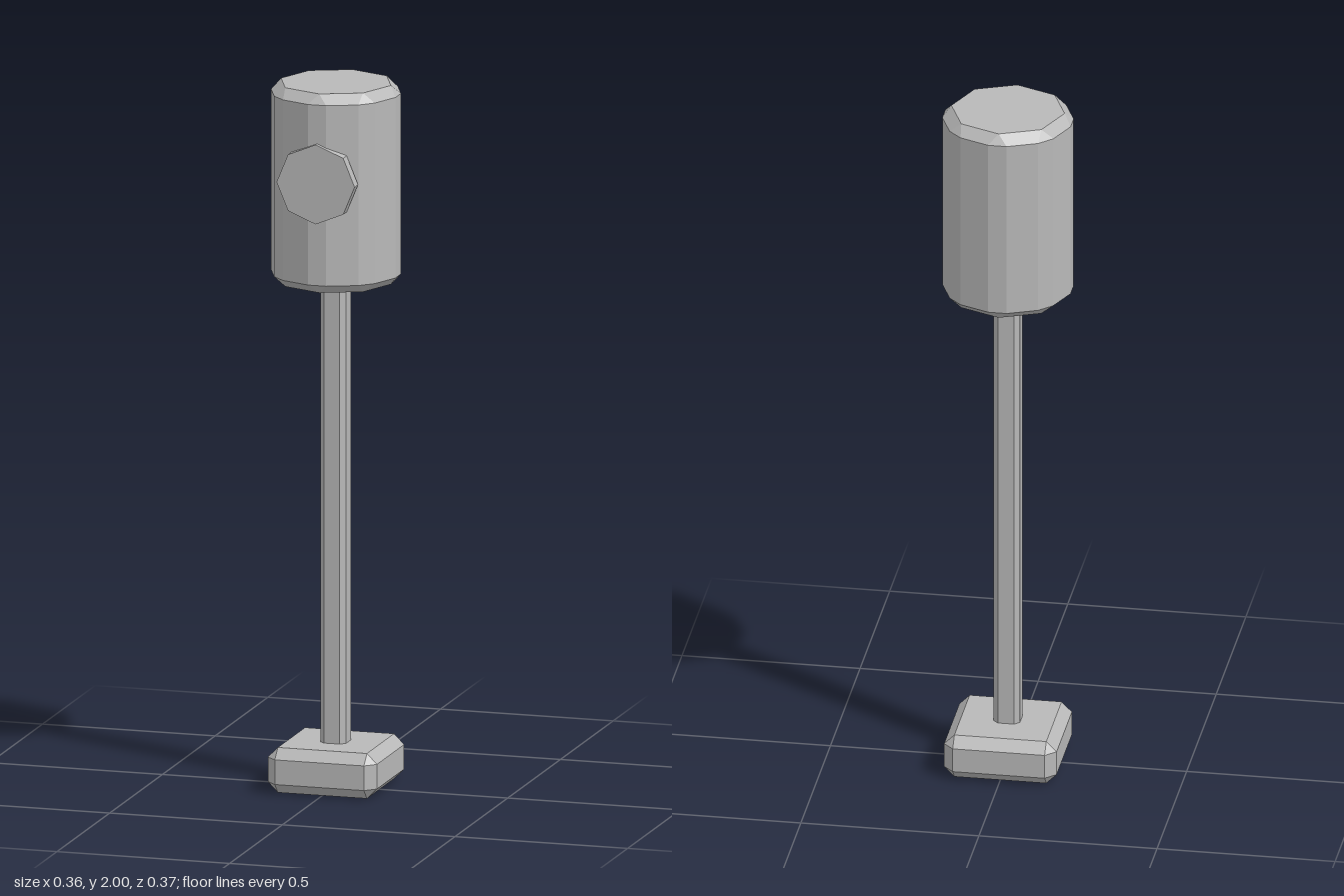
import * as THREE from 'three';
import { ConvexGeometry } from 'three/addons/geometries/ConvexGeometry.js';

const CZ = -0.009; // shared axis of base, post and head

// Ring of points at the given height; each of 8 corners can be split by +-spread radians
function ring(radius, y, spread) {
  const points = [];
  for (let i = 0; i < 8; i++) {
    for (const s of spread ? [-spread, spread] : [0]) {
      const a = (i * Math.PI) / 4 + s;
      points.push(new THREE.Vector3(radius * Math.cos(a), y, radius * Math.sin(a)));
    }
  }
  return points;
}

// Box with every edge and corner chamfered
function chamferBox(hx, hy, hz, c) {
  const points = [];
  for (const x of [-1, 1]) for (const y of [-1, 1]) for (const z of [-1, 1]) {
    points.push(
      new THREE.Vector3(x * hx, y * (hy - c), z * (hz - c)),
      new THREE.Vector3(x * (hx - c), y * hy, z * (hz - c)),
      new THREE.Vector3(x * (hx - c), y * (hy - c), z * hz)
    );
  }
  return new ConvexGeometry(points);
}

export function createModel() {
  const model = new THREE.Group();
  const grey = new THREE.MeshStandardMaterial({ color: 0xb8b8b8, flatShading: true });
  grey.name = 'grey';

  const add = (name, geometry, y, z) => {
    const mesh = new THREE.Mesh(geometry, grey);
    mesh.name = name;
    mesh.position.set(0, y, z);
    model.add(mesh);
    return mesh;
  };

  // Square foot
  add('base', chamferBox(0.158, 0.064, 0.158, 0.029), 0.064, CZ);

  // Slim chamfered post running from foot to head
  add('post', chamferBox(0.037, 0.68, 0.037, 0.014), 0.78, CZ + 0.003);

  // Octagonal head with chamfered rims and corners
  add('head', new ConvexGeometry([
    ...ring(0.159, 1.435),
    ...ring(0.182, 1.46, 0.143),
    ...ring(0.182, 1.973, 0.143),
    ...ring(0.159, 2.0),
  ]), 0, CZ);

  // Octagonal disc on the front of the head
  const disc = new THREE.CylinderGeometry(0.113, 0.113, 0.033, 8);
  disc.rotateX(Math.PI / 2);
  add('frontDisc', disc, 1.75, 0.168);

  return model;
}
